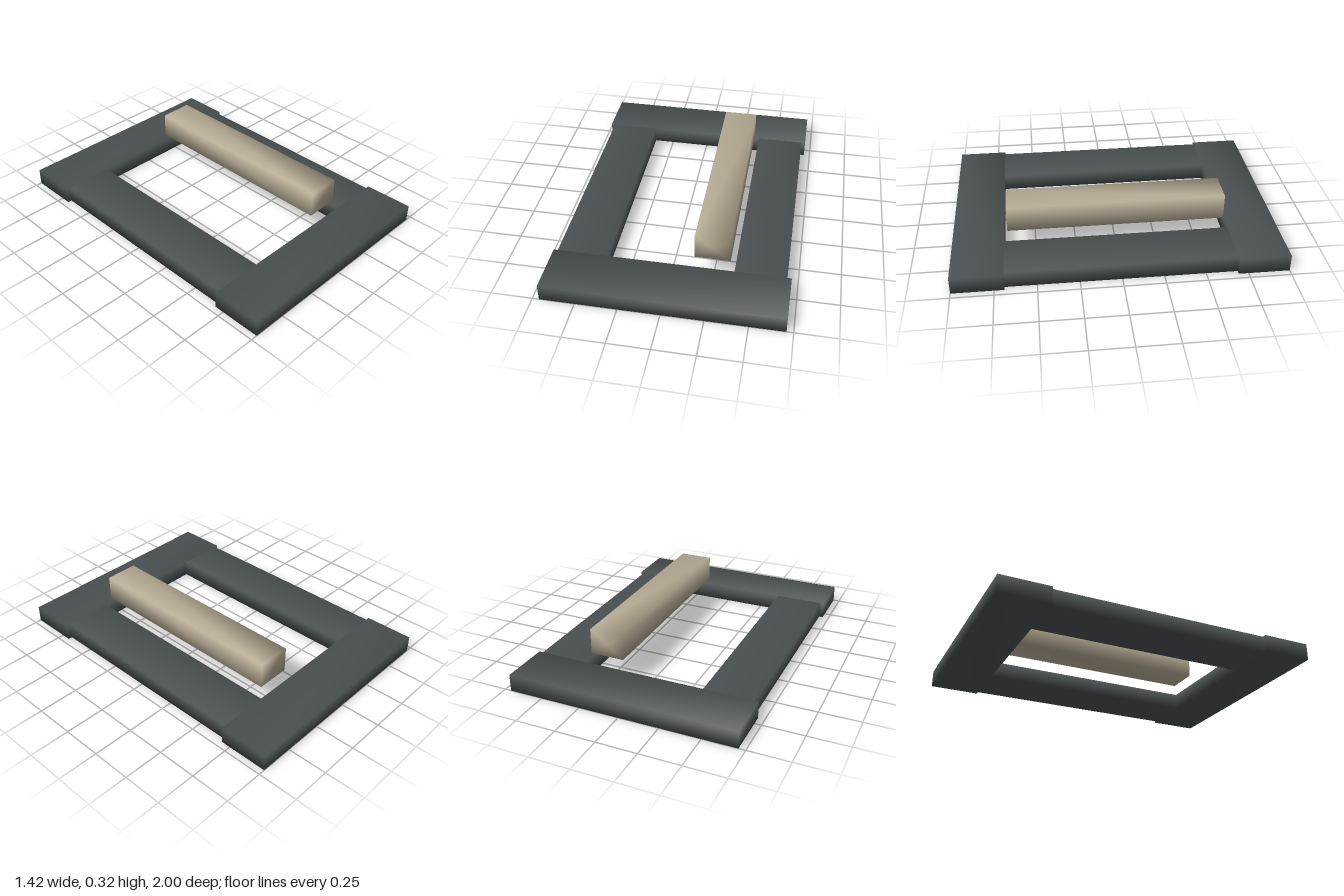
import * as THREE from 'three';
import { mergeVertices } from 'three/addons/utils/BufferGeometryUtils.js';

const frameMat = new THREE.MeshStandardMaterial({ color: 0x4a5051 });
frameMat.name = 'dark grey';
const barMat = new THREE.MeshStandardMaterial({ color: 0xb8ac95 });
barMat.name = 'beige';

// Weld the corners so that the shading runs smoothly around the edges
function smooth(geometry) {
  geometry.deleteAttribute('normal');
  geometry.deleteAttribute('uv');
  const welded = mergeVertices(geometry, 1e-4);
  welded.computeVertexNormals();
  return welded;
}

function addPart(group, name, geometry, material, x, y, z) {
  const mesh = new THREE.Mesh(smooth(geometry), material);
  mesh.name = name;
  mesh.position.set(x, y, z);
  group.add(mesh);
}

export function createModel() {
  const model = new THREE.Group();
  model.name = 'frameWithBar';

  // Four overlapping rails of the flat frame
  const h = 0.106;
  for (const s of [1, -1]) {
    addPart(model, s > 0 ? 'frontRail' : 'backRail',
      new THREE.BoxGeometry(1.42, h, 0.31), frameMat, 0, h / 2, s * 0.845);
    addPart(model, s > 0 ? 'leftRail' : 'rightRail',
      new THREE.BoxGeometry(0.306, h - 0.002, 1.96), frameMat, s * 0.532, h / 2, 0);
  }

  // Square prism floating above the opening, its end caps fanned from the centre
  const bar = new THREE.CylinderGeometry(Math.SQRT1_2, Math.SQRT1_2, 1, 4);
  bar.rotateY(Math.PI / 4).rotateX(Math.PI / 2).scale(0.212, 0.16, 1.33);
  addPart(model, 'raisedBar', bar, barMat, 0.246, 0.241, 0);

  return model;
}
